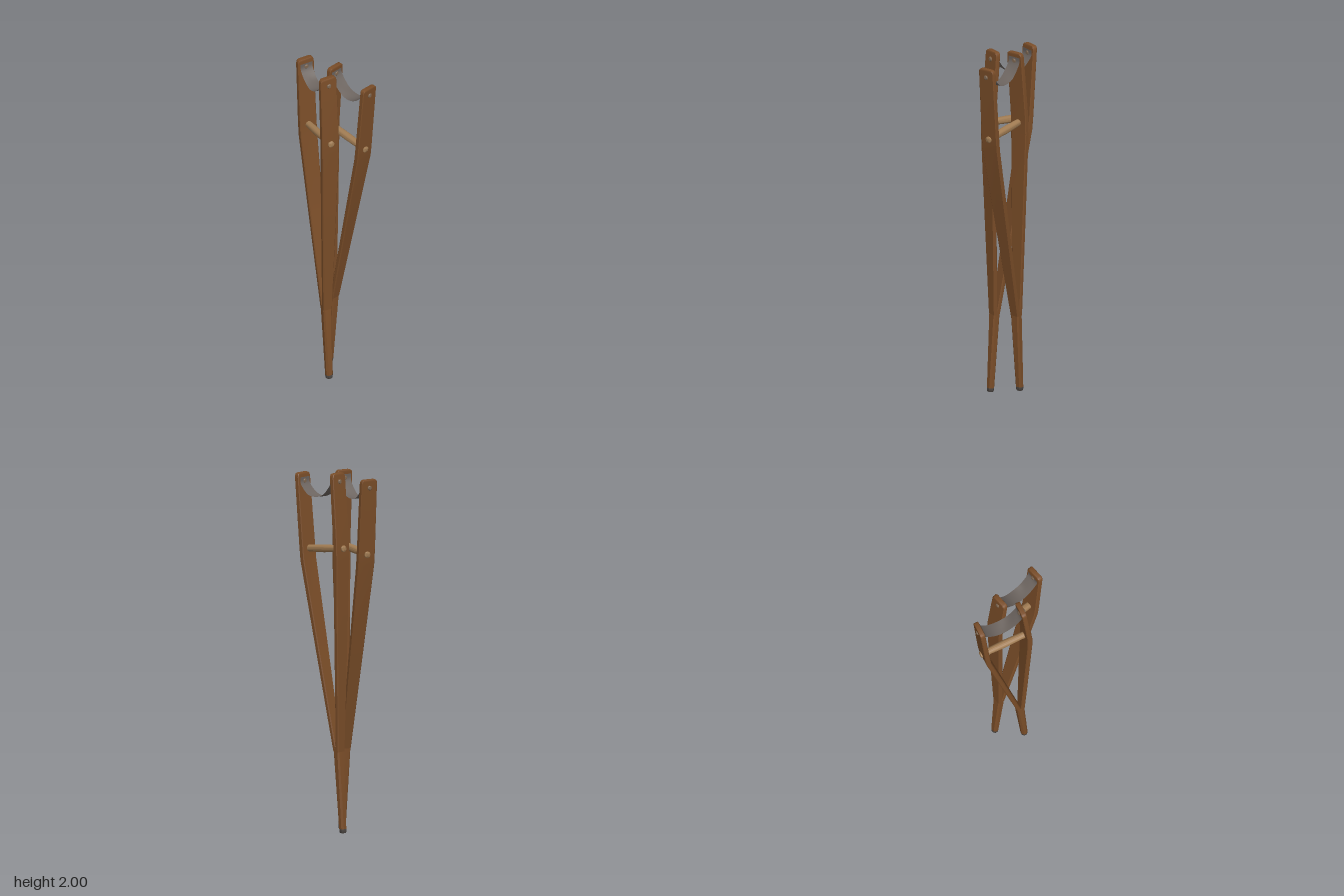
import * as THREE from 'three';
import { toCreasedNormals } from 'three/addons/utils/BufferGeometryUtils.js';

const mat = (name, color, side = THREE.FrontSide) => {
  const m = new THREE.MeshStandardMaterial({ color, side });
  m.name = name;
  return m;
};

// Chamfered rectangular section lofted through stations [x, y, z, thickness, width, chamfer]
function loft(stations, yaw) {
  const pos = [], index = [], n = 8;
  const c = Math.cos(yaw), s = Math.sin(yaw);
  for (const [x, y, z, t, w, b] of stations) {
    const h = t / 2, d = w / 2;
    const ring = [[h, d - b], [h, b - d], [h - b, -d], [b - h, -d], [-h, b - d], [-h, d - b], [b - h, d], [h - b, d]];
    for (const [p, q] of ring) pos.push(x + p * c - q * s, y, z + p * s + q * c);
  }
  const last = stations.length - 1;
  for (let i = 0; i < last; i++) {
    for (let j = 0; j < n; j++) {
      const a = i * n + j, b = i * n + (j + 1) % n;
      index.push(a, b, b + n, a, b + n, a + n);
    }
  }
  for (let j = 1; j < n - 1; j++) {
    index.push(0, j + 1, j, last * n, last * n + j, last * n + j + 1);
  }
  const g = new THREE.BufferGeometry();
  g.setAttribute('position', new THREE.Float32BufferAttribute(pos, 3));
  g.setIndex(index);
  return toCreasedNormals(g, 0.6);
}

// Thin strip following a path, with its width lying across the crutch
function ribbon(points, width, yaw) {
  const path = new THREE.CatmullRomCurve3(points);
  const g = new THREE.PlaneGeometry(1, 1, 28, 4);
  const p = g.attributes.position;
  for (let i = 0; i < p.count; i++) {
    const u = p.getX(i) + 0.5, v = p.getY(i);
    const c = path.getPoint(u);
    const ripple = 0.002 * Math.sin(u * 19 + v * 4) * Math.sin(Math.PI * u);
    p.setXYZ(i, c.x - v * width * Math.sin(yaw), c.y + ripple, c.z + v * width * Math.cos(yaw));
  }
  g.computeVertexNormals();
  return g;
}

// Turned rod between two points, bulging in the middle, with softened ends
function rod(a, b, extra, rEnd, rMid) {
  const dir = b.clone().sub(a);
  const h = dir.length() / 2 + extra;
  const profile = [[0, -h], [rEnd * 0.7, -h], [rEnd, -h + 0.004], [rMid, 0], [rEnd, h - 0.004], [rEnd * 0.7, h], [0, h]]
    .map(([x, y]) => new THREE.Vector2(x, y));
  const g = toCreasedNormals(new THREE.LatheGeometry(profile, 16), 0.7);
  g.applyQuaternion(new THREE.Quaternion().setFromUnitVectors(new THREE.Vector3(0, 1, 0), dir.normalize()));
  const m = a.clone().add(b).multiplyScalar(0.5);
  return g.translate(m.x, m.y, m.z);
}

export function createModel() {
  const wood = mat('wood', 0x7a4d28);
  const paleWood = mat('paleWood', 0xa07b52);
  const leather = mat('leather', 0x6c645f, THREE.DoubleSide);
  const rivetMat = mat('rivetMetal', 0x7d6650);
  const tipMat = mat('tip', 0x504a46);
  const V = (p) => new THREE.Vector3(...p);

  // Each arm: fork, grip and top centres
  const crutches = [
    {
      name: 'frontCrutch', yaw: 0.12, foot: [0.052, 0, 0.073], fork: [0.023, 0.45, 0.071],
      arms: [
        { name: 'outerArm', grip: [-0.19, 1.56, 0.043], top: [-0.219, 1.98, 0.039] },
        { name: 'innerArm', grip: [0.064, 1.583, 0.078], top: [0.033, 2, 0.07] },
      ],
    },
    {
      name: 'backCrutch', yaw: -0.14, foot: [-0.077, 0, -0.026], fork: [-0.047, 0.45, -0.03],
      arms: [
        { name: 'innerArm', grip: [-0.072, 1.583, -0.033], top: [-0.036, 2, -0.033] },
        { name: 'outerArm', grip: [0.184, 1.558, -0.064], top: [0.218, 1.978, -0.073] },
      ],
    },
  ];

  const model = new THREE.Group();
  model.name = 'crutches';

  for (const { name, yaw, foot, fork, arms } of crutches) {
    const crutch = new THREE.Group();
    crutch.name = name;
    model.add(crutch);
    const add = (part, geometry, material) => {
      const m = new THREE.Mesh(geometry, material);
      m.name = part;
      crutch.add(m);
    };
    const u = new THREE.Vector3(Math.cos(yaw), 0, Math.sin(yaw));
    const mix = (a, b, k) => V(a).lerp(V(b), k).toArray();

    // Foot tip and lower pole
    const cut = mix(foot, fork, 0.05);
    add('tip', loft([[...foot, 0.03, 0.032, 0.009], [...mix(foot, fork, 0.01), 0.034, 0.038, 0.01], [...cut, 0.035, 0.04, 0.01]], yaw), tipMat);
    add('pole', loft([[...cut, 0.035, 0.04, 0.01], [...fork, 0.042, 0.054, 0.008], [...mix(foot, fork, 1.06), 0.036, 0.055, 0.008]], yaw), wood);

    arms.forEach(({ name: armName, grip, top }, i) => {
      const side = i ? 1 : -1;
      const start = V(fork).addScaledVector(u, side * 0.009).toArray();
      const bend = [...grip];
      bend[1] -= 0.03;
      // Side arm with a rounded top
      const crown = [[0.024, 0.1], [0.012, 0.096], [0.004, 0.086], [0, 0.07]].map(([drop, w], k) => {
        const p = mix(top, grip, drop / (top[1] - grip[1]));
        return [...p, k === 3 ? 0.024 : 0.028, w, 0.004];
      });
      add(armName, loft([
        [...start, 0.024, 0.054, 0.005],
        [...mix(start, bend, 0.5), 0.027, 0.082, 0.005],
        [...mix(start, bend, 0.97), 0.029, 0.105, 0.004],
        [...mix(grip, top, 0.06), 0.029, 0.105, 0.004],
        ...crown,
      ], yaw), wood);

      // Rivet through the arm and strap end
      const r = V(mix(top, grip, 0.11));
      add('rivet', rod(r.clone().addScaledVector(u, -0.016), r.clone().addScaledVector(u, 0.016), 0.005, 0.013, 0.013), rivetMat);
    });

    // Hand grip passing through both arms
    add('handGrip', rod(V(arms[0].grip), V(arms[1].grip), 0.025, 0.018, 0.022), paleWood);

    // Sagging underarm strap fixed to the inner faces
    const a = V(mix(arms[0].top, arms[0].grip, 0.1)).addScaledVector(u, 0.017);
    const b = V(mix(arms[1].top, arms[1].grip, 0.1)).addScaledVector(u, -0.017);
    const strap = [[0, 0.018], [0, -0.012], [0.1, -0.045], [0.28, -0.078], [0.5, -0.091], [0.72, -0.08], [0.9, -0.045], [1, -0.012], [1, 0.018]]
      .map(([k, dy]) => {
        const p = a.clone().lerp(b, k);
        p.y += dy;
        return p;
      });
    add('strap', ribbon(strap, 0.075, yaw), leather);
  }
  return model;
}
